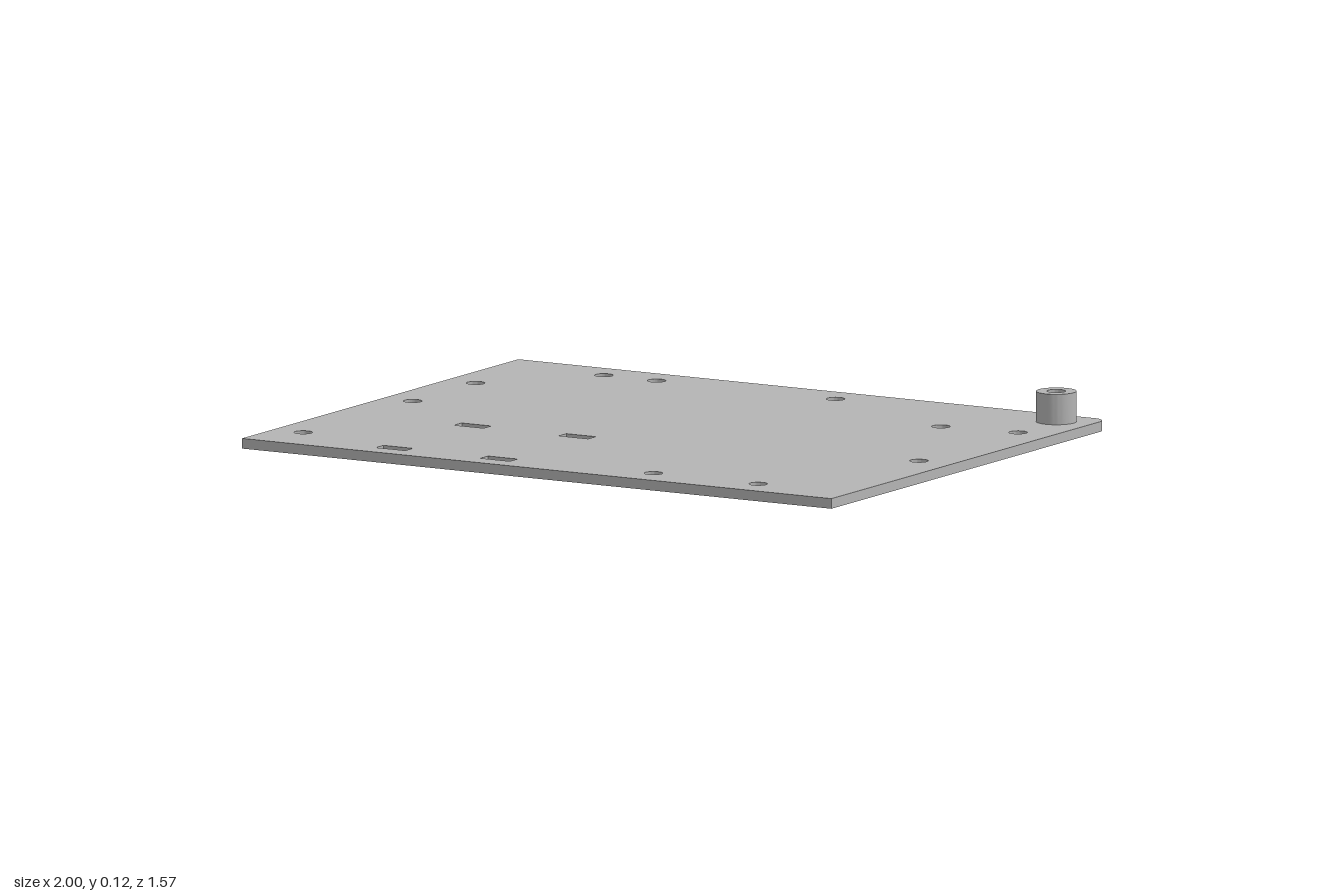
import * as THREE from 'three';
import { toCreasedNormals } from 'three/addons/utils/BufferGeometryUtils.js';

const THICK = 0.03, HALF_X = 1, HALF_Z = 0.785;
const CORNER = 0.045, HOLE_R = 0.027;
const POST = { x: 0.888, z: -0.68, r: 0.059, top: 0.12 };

// Shapes are drawn in plan with shape y = -z, then laid flat
function circle(PathType, x, z, r) {
  const p = new PathType();
  p.absarc(x, -z, r, 0, Math.PI * 2, false);
  return p;
}

function slot(x, z, w, d) {
  return new THREE.Path([
    new THREE.Vector2(x - w / 2, -z - d / 2),
    new THREE.Vector2(x + w / 2, -z - d / 2),
    new THREE.Vector2(x + w / 2, -z + d / 2),
    new THREE.Vector2(x - w / 2, -z + d / 2),
  ]);
}

function slab(shape, y, height, material, name) {
  const geo = new THREE.ExtrudeGeometry(shape, { depth: height, bevelEnabled: false, curveSegments: 24 });
  geo.rotateX(-Math.PI / 2);
  geo.translate(0, y, 0);
  const mesh = new THREE.Mesh(toCreasedNormals(geo, 0.6), material);
  mesh.name = name;
  return mesh;
}

export function createModel() {
  const group = new THREE.Group();
  group.name = 'mountingPlate';
  const grey = new THREE.MeshStandardMaterial({ color: 0xb4b4b4 });
  grey.name = 'grey';

  // Plate outline with one rounded corner at the back left
  const outline = new THREE.Shape();
  outline.moveTo(-HALF_X, -HALF_Z);
  outline.lineTo(HALF_X, -HALF_Z);
  outline.lineTo(HALF_X, HALF_Z - CORNER);
  outline.absarc(HALF_X - CORNER, HALF_Z - CORNER, CORNER, 0, Math.PI / 2, false);
  outline.lineTo(-HALF_X, HALF_Z);
  outline.closePath();

  // Screw holes (x, z)
  const holes = [
    [-0.647, -0.68], [-0.468, -0.68], [0.139, -0.68], [POST.x, POST.z],
    [0.643, -0.435], [0.888, -0.463], [0.888, 0.1],
    [-0.9, -0.375], [-0.9, -0.018], [-0.9, 0.604],
    [0.332, 0.677], [0.687, 0.677],
  ];
  for (const [x, z] of holes) outline.holes.push(circle(THREE.Path, x, z, HOLE_R));

  // Rectangular strap slots
  for (const x of [-0.535, -0.18])
    for (const z of [0.253, 0.697]) outline.holes.push(slot(x, z, 0.1, 0.044));

  group.add(slab(outline, 0, THICK, grey, 'plate'));

  // Hollow standoff on the corner hole
  const ring = circle(THREE.Shape, POST.x, POST.z, POST.r);
  ring.holes.push(circle(THREE.Path, POST.x, POST.z, HOLE_R));
  group.add(slab(ring, THICK, POST.top - THICK, grey, 'standoff'));

  return group;
}
